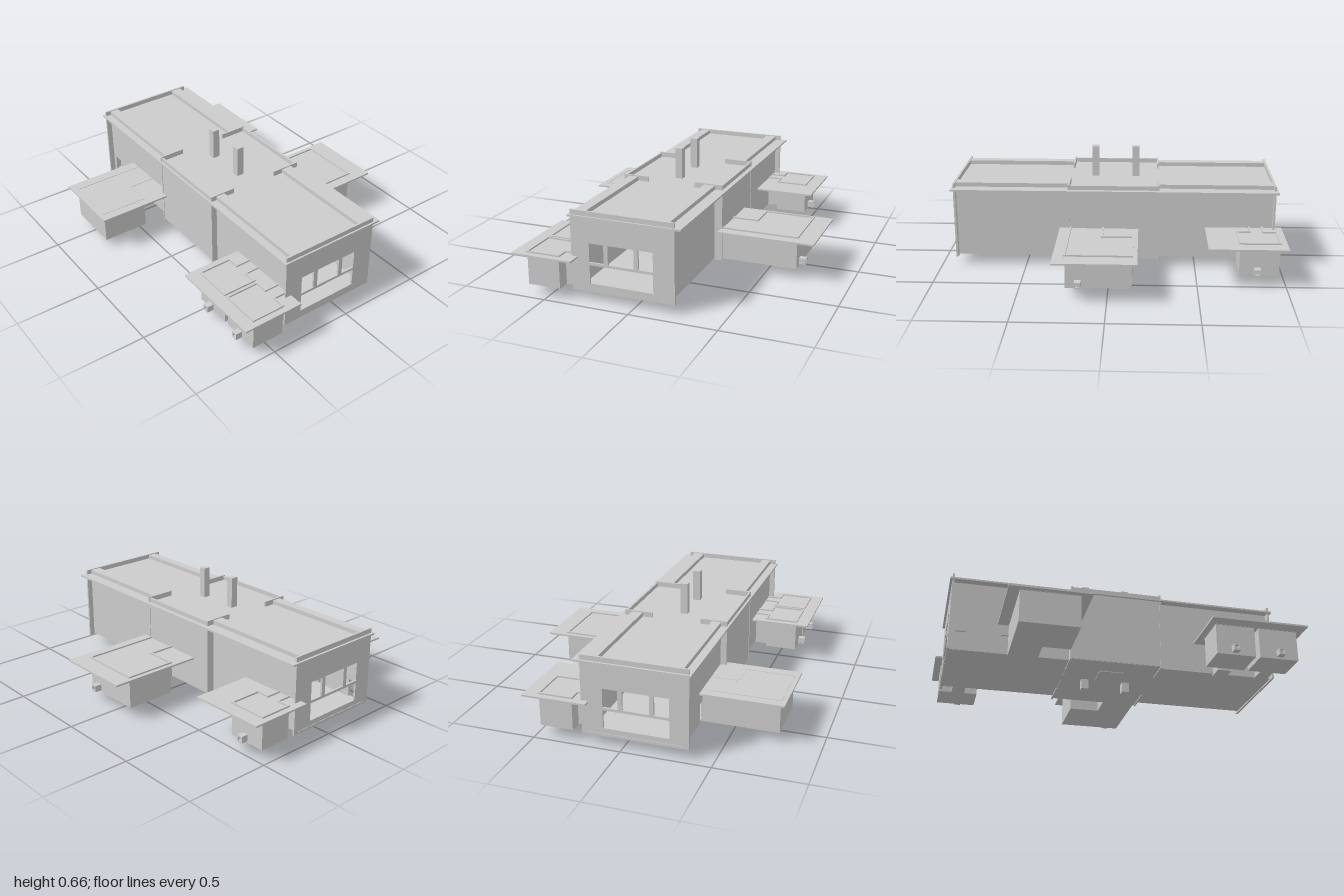
import * as THREE from 'three';

export function createModel() {
  const model = new THREE.Group();
  const material = new THREE.MeshStandardMaterial({ color: 0xcccccc, flatShading: true });

  const add = (name, geometry, parent = model) => {
    const mesh = new THREE.Mesh(geometry, material);
    mesh.name = name;
    parent.add(mesh);
    return mesh;
  };
  // Box given by its two extreme corners
  const block = (name, x0, x1, y0, y1, z0, z1, parent) => {
    const g = new THREE.BoxGeometry(x1 - x0, y1 - y0, z1 - z0);
    return add(name, g.translate((x0 + x1) / 2, (y0 + y1) / 2, (z0 + z1) / 2), parent);
  };
  const polygon = (points) => new THREE.Shape(points.map(([a, b]) => new THREE.Vector2(a, b)));
  const rect = (a0, a1, b0, b1) => [[a0, b0], [a1, b0], [a1, b1], [a0, b1]];
  // Upright panel with rectangular openings
  const panel = (outline, holes, depth) => {
    const shape = polygon(outline);
    holes.forEach((h) => shape.holes.push(polygon(h)));
    return new THREE.ExtrudeGeometry(shape, { depth, bevelEnabled: false });
  };

  // Main hall: floor and overhanging roof slab
  block('wingFloor', -0.96, 0.915, 0.06, 0.07, -0.2, 0.335);
  block('centreFloor', -0.28, 0.24, 0.058, 0.07, -0.24, 0.365);
  block('roofSlab', -0.97, 0.925, 0.47, 0.48, -0.27, 0.38);

  // End walls: three windows above one wide opening
  const windows = [
    rect(0.175, 0.26, 0.22, 0.33), rect(0, 0.15, 0.22, 0.33),
    rect(-0.11, -0.025, 0.22, 0.33), rect(-0.11, 0.26, 0.1, 0.205),
  ];
  for (const x of [-0.945, 0.915]) {
    const g = panel(rect(-0.232, 0.367, 0.052, 0.508), windows, 0.012);
    add('endWall', g.rotateY(-Math.PI / 2).translate(x, 0, 0));
  }

  // Wing walls with thick parapets; the front of the right wing has two doorways
  for (const [x0, x1] of [[-0.955, -0.28], [0.24, 0.91]]) {
    const doors = x0 < 0 ? [rect(-0.92, -0.86, 0.068, 0.175), rect(-0.67, -0.61, 0.068, 0.175)] : [];
    add('wingFrontWall', panel(rect(x0, x1, 0.06, 0.47), doors, 0.012).translate(0, 0, 0.323));
    block('wingBackWall', x0, x1, 0.06, 0.47, -0.2, -0.188);
    block('wingFrontParapet', x0, x1, 0.475, 0.504, 0.28, 0.335);
    block('wingBackParapet', x0, x1, 0.475, 0.504, -0.2, -0.135);
  }

  // Projecting centre section with partition stubs that rise above the roof
  block('centreFrontWall', -0.28, 0.24, 0.06, 0.505, 0.357, 0.367);
  block('centreBackWall', -0.28, 0.24, 0.06, 0.505, -0.243, -0.231);
  for (const x of [-0.28, 0.24]) {
    block('frontPartition', x - 0.005, x + 0.005, 0.052, 0.51, 0.215, 0.37);
    block('backPartition', x - 0.005, x + 0.005, 0.052, 0.51, -0.246, -0.075);
  }

  // Chimneys pass through floor and roof
  for (const x of [-0.145, 0.097]) block('chimney', x - 0.021, x + 0.021, 0, 0.663, 0.053, 0.096);

  // Annexe body with a thin rim that follows its outline above the roof
  const annexe = (name, points, y0, top) => {
    const group = new THREE.Group();
    group.name = name;
    model.add(group);
    const g = panel(points.map(([x, z]) => [x, -z]), [], 0.24 - y0);
    add('annexeBody', g.rotateX(-Math.PI / 2).translate(0, y0, 0), group);
    for (let i = 0; i + 1 < points.length; i++) {
      const [ax, az] = points[i], [bx, bz] = points[i + 1], t = 0.005;
      block('roofRim', Math.min(ax, bx) - t, Math.max(ax, bx) + t, 0.235, top,
        Math.min(az, bz) - t, Math.max(az, bz) + t, group);
    }
  };
  // T-shaped outline: a room joined to the hall by a short passage
  const tee = (x0, x1, stem0, stem1, wall, near, far) => [
    [stem0, wall], [stem0, near], [x0, near], [x0, far],
    [x1, far], [x1, near], [stem1, near], [stem1, wall],
  ];
  annexe('frontLeftRoom', tee(0.485, 0.71, 0.555, 0.635, 0.33, 0.42, 0.612), 0.06, 0.255);
  annexe('frontLeftOuterRoom', tee(0.735, 0.96, 0.81, 0.885, 0.33, 0.42, 0.612), 0.06, 0.255);
  annexe('backRightRoom', tee(-0.96, -0.735, -0.885, -0.81, -0.195, -0.285, -0.475), 0.06, 0.255);
  annexe('backCentreRoom', [[0.04, -0.235], [0.04, -0.395], [-0.135, -0.395],
    [-0.135, -0.69], [0.23, -0.69], [0.23, -0.235]], 0.06, 0.255);
  annexe('frontRightRoom', [[-0.46, 0.33], [-0.46, 0.49], [-0.305, 0.49],
    [-0.305, 0.767], [-0.628, 0.767], [-0.628, 0.33]], 0.053, 0.248);

  // Flat annexe roofs
  for (const [x0, x1, z0, z1] of [
    [0.445, 1, 0.33, 0.69], [-0.69, -0.245, 0.33, 0.8],
    [-1, -0.555, -0.56, -0.19], [-0.165, 0.295, -0.8, -0.235],
  ]) block('annexeRoof', x0, x1, 0.236, 0.246, z0, z1);

  // Square vent spouts on the outer annexe walls
  for (const [x, z] of [[0.587, 0.615], [0.85, 0.615], [-0.835, -0.515], [0.16, -0.73]]) {
    const g = panel(rect(-0.018, 0.018, 0.07, 0.108), [rect(-0.011, 0.011, 0.078, 0.1)], 0.04);
    add('ventSpout', g.translate(x, 0, z));
    block('ventBack', x - 0.012, x + 0.012, 0.077, 0.101, z + 0.012, z + 0.026);
  }

  // Thin plates below the floor
  block('centreUnderPlate', -0.09, 0.05, 0.048, 0.052, 0.1, 0.25);
  block('passageUnderPlate', 0.555, 0.635, 0.048, 0.06, 0.33, 0.42);
  return model;
}
